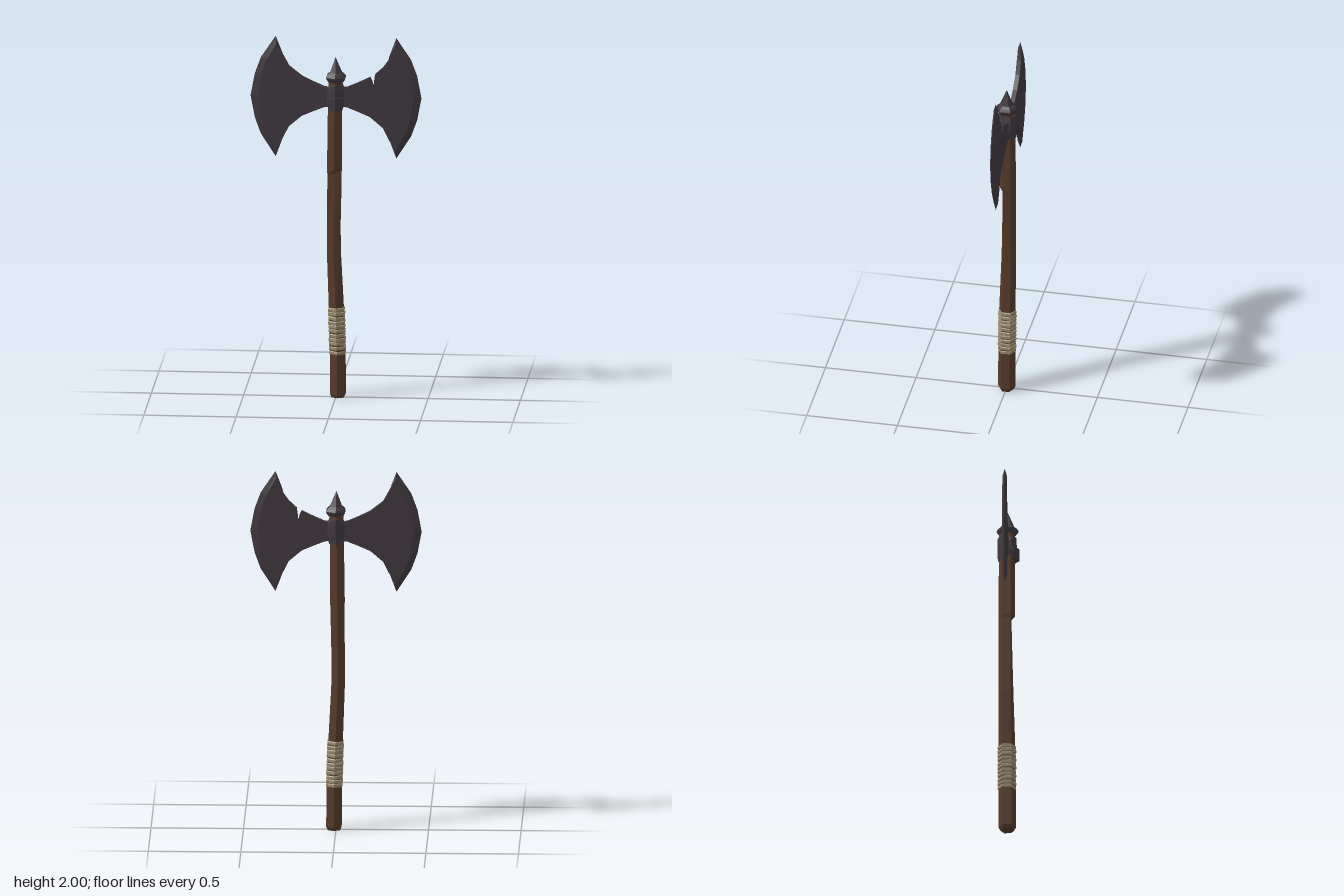
import * as THREE from 'three';

const mat = (color) => new THREE.MeshStandardMaterial({ color, flatShading: true, side: THREE.DoubleSide });
const wood = mat(0x573a2a), iron = mat(0x40383f), cord = mat(0x9a8a6c);

// Six-sided loft through rings from top to bottom: [y, cx, cz, radius, xScale, frontLimit]
function loft(name, rings, material) {
  const n = rings.length - 1;
  const geo = new THREE.CylinderGeometry(1, 1, 1, 6, n).toNonIndexed();
  const p = geo.attributes.position;
  for (let i = 0; i < p.count; i++) {
    const [y, cx, cz, r, sx = 1, limit = 1] = rings[Math.round((0.5 - p.getY(i)) * n)];
    p.setXYZ(i, cx + p.getX(i) * r * sx, y, Math.min(cz + p.getZ(i) * r, limit));
  }
  geo.computeVertexNormals();
  const mesh = new THREE.Mesh(geo, material);
  mesh.name = name;
  return mesh;
}

// Flat-sided blade whose curved outer edge is ground to a sharp rim
function blade(name, notches) {
  const half = 0.012;
  const upper = [[0.02, 1.72], [0.06, 1.722], [0.12, 1.748], [0.185, 1.78], ...notches, [0.255, 1.835], [0.29, 1.9]];
  const lower = [[0.29, 1.43], [0.255, 1.5], [0.185, 1.56], [0.12, 1.588], [0.06, 1.612], [0.02, 1.615]];
  upper.sort((a, b) => a[0] - b[0]);
  const inner = [[0.322, 1.96], [0.375, 1.87], [0.405, 1.78], [0.42, 1.667], [0.405, 1.555], [0.375, 1.465], [0.322, 1.37]];
  const rim = [[0.327, 2], [0.407, 1.88], [0.44, 1.79], [0.463, 1.667], [0.44, 1.545], [0.407, 1.455], [0.327, 1.33]];
  const face = [...upper, ...inner, ...lower];
  const edge = [...upper, ...rim, ...lower];
  const pos = [];
  const tri = (...pts) => pts.forEach(([q, z]) => pos.push(q[0], q[1], z));

  // Front and back faces
  const outline = face.map((q) => new THREE.Vector2(q[0], q[1]));
  for (const t of THREE.ShapeUtils.triangulateShape(outline, [])) {
    const [a, b, c] = t.map((k) => face[k]);
    const turn = (b[0] - a[0]) * (c[1] - a[1]) - (b[1] - a[1]) * (c[0] - a[0]);
    const [u, v] = turn > 0 ? [b, c] : [c, b];
    tri([a, half], [u, half], [v, half]);
    tri([a, -half], [v, -half], [u, -half]);
  }
  // Walls and bevels joining the faces to the rim
  face.forEach((a, i) => {
    const j = (i + 1) % face.length, b = face[j], ea = edge[i], eb = edge[j];
    tri([a, half], [b, half], [eb, 0]);
    tri([a, half], [eb, 0], [ea, 0]);
    tri([ea, 0], [eb, 0], [b, -half]);
    tri([ea, 0], [b, -half], [a, -half]);
  });
  const geo = new THREE.BufferGeometry();
  geo.setAttribute('position', new THREE.Float32BufferAttribute(pos, 3));
  geo.computeVertexNormals();
  const mesh = new THREE.Mesh(geo, iron);
  mesh.name = name;
  mesh.position.z = -0.007;
  return mesh;
}

export function createModel() {
  const axe = new THREE.Group();
  axe.name = 'doubleAxe';

  // Slightly bent shaft with a chipped step on its front
  axe.add(loft('handle', [
    [1.77, -0.002, -0.004, 0.043],
    [1.6, -0.005, -0.004, 0.043],
    [1.265, -0.008, -0.005, 0.045],
    [1.245, -0.008, -0.005, 0.045, 0.95, 0.02],
    [1.2, -0.008, -0.005, 0.045, 0.95, 0.022],
    [0.95, -0.012, -0.005, 0.044, 0.93, 0.028],
    [0.8, -0.011, -0.005, 0.044, 0.95, 0.032],
    [0.5, 0.002, -0.004, 0.045],
    [0.24, 0.01, -0.003, 0.047],
    [0.02, 0.011, -0.002, 0.048],
    [0, 0.011, -0.002, 0.037],
  ], wood));

  // Cord grip: stacked, slightly tilted turns
  const grip = new THREE.Group();
  grip.name = 'gripWrap';
  const turns = 11, pitch = 0.26 / turns;
  for (let i = 0; i < turns; i++) {
    const h = pitch * 0.47, r = 0.05 + 0.002 * (i % 2);
    const turn = loft('cordTurn', [
      [h, 0, 0, 0.046], [h * 0.6, 0, 0, r], [-h * 0.6, 0, 0, r], [-h, 0, 0, 0.046],
    ], cord);
    turn.position.set(0.009 - 0.007 * i / turns, 0.24 + pitch * (i + 0.5), -0.004);
    turn.rotation.z = 0.05 * Math.sin(i * 2.1);
    turn.rotation.x = 0.05 * Math.cos(i * 1.7);
    grip.add(turn);
  }
  axe.add(grip);

  // Iron socket in two stepped halves
  axe.add(loft('socketUpper', [
    [1.74, 0, -0.003, 0.05, 0.8], [1.71, 0, -0.003, 0.052, 0.98], [1.665, 0, -0.003, 0.053, 1.02],
  ], iron));
  axe.add(loft('socketLower', [
    [1.67, 0, 0.005, 0.059, 0.92], [1.64, 0, 0.005, 0.059, 0.88], [1.6, 0, 0.005, 0.058, 0.74],
  ], iron));

  // Pommel cap and spike
  axe.add(loft('topSpike', [
    [1.888, -0.002, 0, 0.001], [1.805, 0, 0, 0.036], [1.792, 0, 0, 0.052],
    [1.78, 0.001, 0, 0.06], [1.768, 0.001, 0, 0.056], [1.752, 0, 0, 0.044],
  ], iron));

  // Twin blades; the left one carries nicks
  axe.add(blade('leftBlade', [[0.197, 1.755], [0.203, 1.725], [0.212, 1.795], [0.284, 1.875]]));
  const right = blade('rightBlade', []);
  right.rotation.y = Math.PI;
  axe.add(right);

  return axe;
}
